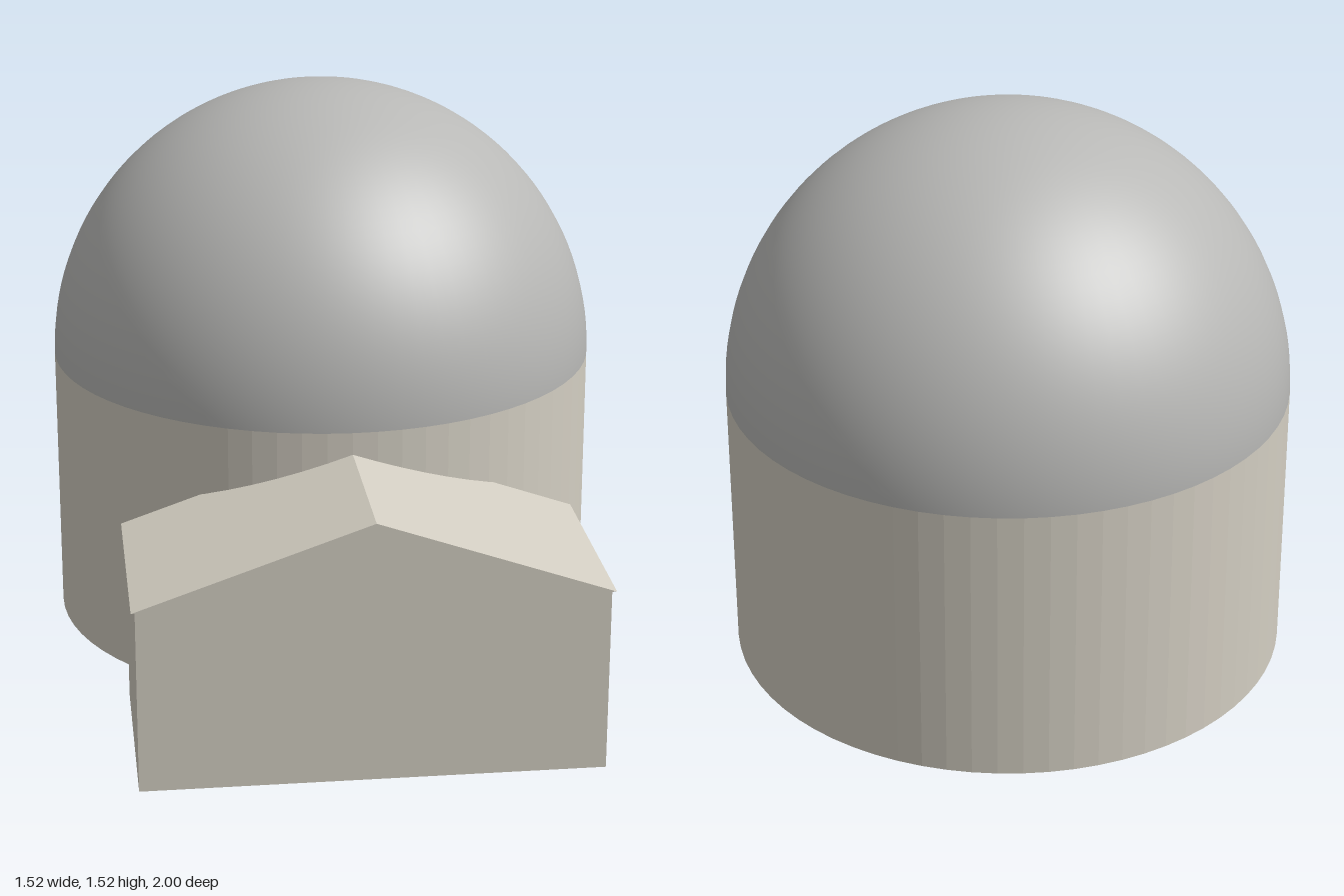
import * as THREE from 'three';

export function createModel() {
  const model = new THREE.Group();
  const wallMat = new THREE.MeshStandardMaterial({ color: 0xd3cec2 });
  const drumMat = new THREE.MeshStandardMaterial({ color: 0xd3cec2, flatShading: true });
  const domeMat = new THREE.MeshStandardMaterial({ color: 0xb8b8b6 });

  const add = (name, geometry, material, x, y, z) => {
    const mesh = new THREE.Mesh(geometry, material);
    mesh.name = name;
    mesh.position.set(x, y, z);
    model.add(mesh);
    return mesh;
  };

  const radius = 0.76;
  const centreZ = -0.24;

  // Round drum and the hemispherical dome on it
  add('drumWall', new THREE.CylinderGeometry(radius, radius, radius, 72), drumMat, 0, radius / 2, centreZ);
  add('dome', new THREE.SphereGeometry(radius, 72, 32, 0, Math.PI * 2, 0, Math.PI / 2), domeMat, 0, radius, centreZ);

  // Entrance block against the front of the drum
  add('entranceBlock', new THREE.BoxGeometry(1.19, 0.49, 0.56), wallMat, 0, 0.245, 0.71);

  // Gabled roof with a slight overhang all round
  const gable = new THREE.Shape();
  gable.moveTo(-0.605, 0);
  gable.lineTo(0.605, 0);
  gable.lineTo(0, 0.21);
  gable.closePath();
  const roof = new THREE.ExtrudeGeometry(gable, { depth: 0.59, bevelEnabled: false });
  add('entranceRoof', roof, wallMat, 0, 0.49, 0.41);

  return model;
}
